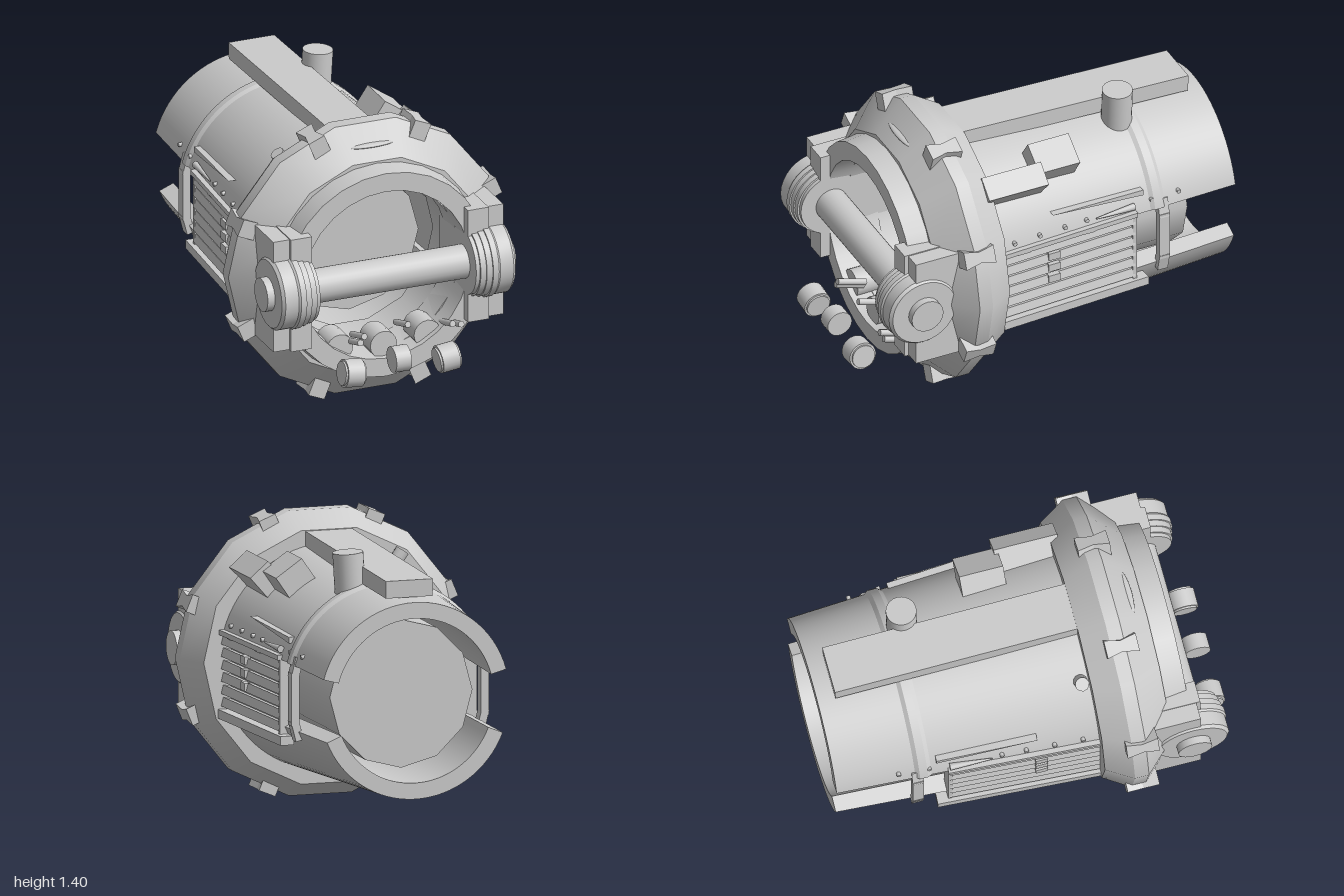
import * as THREE from 'three';
import { mergeGeometries, toCreasedNormals } from 'three/addons/utils/BufferGeometryUtils.js';

const CY = 0.71; // height of the main axis
const rad = THREE.MathUtils.degToRad;
const bodyR = (z) => 0.56 + (z - 0.3) * 0.058; // tapered body radius

export function createModel() {
  const root = new THREE.Group();
  root.name = 'machine';
  const metal = new THREE.MeshStandardMaterial({ color: 0xcccccc, side: THREE.DoubleSide });
  metal.name = 'plain grey metal';

  const add = (name, geo, x = 0, y = 0, z = 0, rx = 0, ry = 0, rz = 0) => {
    const m = new THREE.Mesh(geo, metal);
    m.name = name;
    m.position.set(x, y, z);
    m.rotation.set(rx, ry, rz);
    root.add(m);
    return m;
  };
  const box = (name, w, h, d, ...at) => add(name, new THREE.BoxGeometry(w, h, d), ...at);
  const rod = (name, r, len, axis, x, y, z, seg = 24, tilt = 0) => {
    const g = new THREE.CylinderGeometry(r, r, len, seg);
    if (axis === 'x') g.rotateZ(Math.PI / 2);
    if (axis === 'z') g.rotateX(Math.PI / 2);
    return add(name, g, x, y, z, 0, 0, tilt);
  };

  // Closed [radius, z] profile swept about the z axis with sharp bands; arcs get end caps.
  // Angles run from straight down towards +x.
  const sweep = (name, profile, seg, start = 90, length = 360) => {
    const pts = profile.map(([r, z]) => new THREE.Vector2(r, z));
    const parts = pts.map((p, i) =>
      new THREE.LatheGeometry([p, pts[(i + 1) % pts.length]], seg, rad(start), rad(length)));
    if (length < 360) {
      for (const a of [start, start + length]) {
        parts.push(new THREE.ShapeGeometry(new THREE.Shape(pts)).rotateY(rad(a) - Math.PI / 2));
      }
    }
    return add(name, mergeGeometries(parts).rotateX(Math.PI / 2), 0, CY, 0);
  };

  // Front collar and mouth ring
  sweep('collar', [[0.64, 0.3], [0.72, 0.43], [0.72, 0.5], [0.57, 0.65], [0.44, 0.65], [0.44, 0.3]], 14);
  sweep('mouthRing', [[0.55, 0.62], [0.535, 0.76], [0.44, 0.76], [0.43, 0.5]], 28);
  add('collarRidge', new THREE.SphereGeometry(1, 20, 8).scale(0.125, 0.012, 0.03), 0, 1.325, 0.575);

  // Notched lugs around the collar
  const lug = new THREE.Shape([[-0.045, -0.08], [0.045, -0.08], [0.028, 0], [0.045, 0.08], [-0.045, 0.08], [-0.028, 0]]
    .map(([x, y]) => new THREE.Vector2(x, y)));
  for (let i = 0; i < 8; i++) {
    const a = rad(22.5 + 45 * i);
    const g = new THREE.ExtrudeGeometry(lug, { depth: 0.1, bevelEnabled: false });
    g.rotateX(-Math.PI / 2); // depth becomes radial
    add('collarLug', g, 0.635 * Math.cos(a), CY + 0.635 * Math.sin(a), 0.48, 0, 0, a - Math.PI / 2);
  }

  // Tapered upper and lower shells, open at the sides
  const shell = [[bodyR(-1), -1], [bodyR(0.35), 0.35], [0.46, 0.35], [0.405, -1]];
  sweep('upperShell', shell, 32, 105.5, 149);
  sweep('lowerShell', shell, 32, -68, 136);
  const band = [[bodyR(-0.6), -0.61], [bodyR(-0.56) + 0.012, -0.59], [bodyR(-0.55) + 0.012, -0.55], [bodyR(-0.52), -0.53]];
  sweep('upperBand', band, 32, 105.5, 149);

  // Inner core
  rod('core', 0.365, 1.09, 'z', 0, CY, -0.245, 12);
  box('coreNotch', 0.03, 0.03, 0.04, 0, 1.06, 0.3);

  // Spine plate, vent stub, side boxes and knob on top
  box('spinePlate', 0.24, 0.085, 1.22, 0, 1.268, -0.305, -0.033);
  add('ventStub', new THREE.CylinderGeometry(0.075, 0.075, 0.2, 24), 0.17, 1.27, -0.505, 0, 0, -0.06);
  box('rearBox', 0.16, 0.13, 0.22, 0.33, 1.19, -0.07, 0, 0, -0.6);
  box('frontBox', 0.12, 0.14, 0.32, 0.405, 1.155, 0.18, 0, 0, -0.72);
  add('knob', new THREE.CylinderGeometry(0.035, 0.035, 0.1, 12), -0.335, 1.175, 0.26, 0, 0, 0.6);

  const wedge = new THREE.ExtrudeGeometry(new THREE.Shape([[0, 0], [-0.5, -0.02], [-0.5, -0.05]]
    .map(([x, y]) => new THREE.Vector2(x, y))), { depth: 0.05, bevelEnabled: false }).rotateY(-Math.PI / 2);

  for (const s of [-1, 1]) {
    // Louvred side panel following the taper
    const tilt = s * 0.058;
    box('louverBacking', 0.03, 0.4, 0.76, s * 0.465, 0.66, -0.07, 0, tilt, 0);
    for (let i = 0; i < 6; i++) {
      box('louverSlat', 0.05, 0.045, 0.75, s * 0.5, 0.51 + i * 0.061, -0.065, 0, tilt, s * 0.25);
    }
    box('louverEnd', 0.08, 0.37, 0.02, s * 0.465, 0.665, -0.44);
    box('lowerLedge', 0.07, 0.045, 0.85, s * 0.51, 0.457, -0.08, 0, tilt, 0);
    box('upperRail', 0.05, 0.025, 0.76, s * 0.515, 0.858, -0.07, 0, tilt, 0);
    for (const z of [0.18, -0.18]) box('railClip', 0.04, 0.025, 0.07, s * bodyR(z) * 0.96, 0.853, z);
    for (let i = 0; i < 3; i++) box('louverLatch', 0.03, 0.04, 0.06, s * 0.525, 0.64 + i * 0.065, 0.01);

    // Bent strap bridging the side opening
    box('strapMiddle', 0.04, 0.26, 0.055, s * 0.485, 0.68, -0.6);
    box('strapTop', 0.04, 0.1, 0.055, s * 0.475, 0.835, -0.6, 0, 0, s * 0.25);
    box('strapBottom', 0.04, 0.1, 0.055, s * 0.475, 0.525, -0.6, 0, 0, -s * 0.25);

    // Fins and rivets on the upper shell
    add('longFin', wedge, s * 0.48 + 0.025, 0.985, 0, 0, tilt, 0);
    const pin = new THREE.CylinderGeometry(0.004, 0.018, 0.21, 10).rotateX(Math.PI / 2);
    add('shortFin', pin, s * 0.502, 0.898, -0.335, 0, tilt, 0);
    for (const z of [0.22, 0.08, -0.06, -0.18, -0.54, -0.69]) {
      const r = bodyR(z), dy = 0.19;
      rod('rivet', 0.011, 0.03, 'x', s * Math.sqrt(r * r - dy * dy), CY + dy, z, 8);
    }
    rod('collarRivet', 0.012, 0.03, 'x', s * 0.58, 0.41, 0.37, 8);
    rod('collarRivet', 0.012, 0.03, 'x', s * 0.58, 1.0, 0.37, 8);

    // Arm, ridged hub and cap
    box('armInner', 0.11, 0.59, 0.36, s * 0.465, 0.705, 0.63);
    box('armOuter', 0.09, 0.58, 0.34, s * 0.56, 0.705, 0.62);
    const hub = [[0, 0.41], [0.165, 0.41], [0.165, 0.43], [0.175, 0.43], [0.175, 0.46], [0.182, 0.46],
      [0.182, 0.49], [0.19, 0.49], [0.19, 0.52], [0.183, 0.53], [0.183, 0.6], [0.17, 0.615], [0, 0.615]]
      .map(([r, y]) => new THREE.Vector2(r, y));
    const hubGeo = toCreasedNormals(new THREE.LatheGeometry(hub, 32), 0.5);
    add('hub', hubGeo, 0, CY, 0.75, 0, 0, -s * Math.PI / 2);
    rod('hubCap', 0.085, 0.05, 'x', s * 0.628, CY, 0.75, 20);
  }
  rod('crossBar', 0.085, 0.84, 'x', 0, CY, 0.75);

  // Front rollers with their sockets in the lower mouth
  rod('middleRoller', 0.065, 0.08, 'x', 0, 0.335, 0.925);
  rod('middleSocket', 0.07, 0.14, 'z', 0, 0.33, 0.66, 16);
  for (const s of [-1, 1]) {
    rod('sideRoller', 0.07, 0.09, 'x', s * 0.25, 0.3, 0.925, 24, s * 0.12);
    rod('sideRollerRim', 0.06, 0.11, 'x', s * 0.25, 0.3, 0.925, 24, s * 0.12);
    rod('sideSocket', 0.07, 0.14, 'z', s * 0.23, 0.35, 0.66, 16);
  }

  // Small levers in the lower mouth
  for (const [x, y] of [[-0.17, 0.41], [-0.15, 0.44], [0.08, 0.465], [0.315, 0.43], [0.36, 0.42]]) {
    const g = new THREE.CylinderGeometry(0.016, 0.016, 0.16, 10).rotateX(Math.PI / 2);
    add('lever', g, x, y - 0.02, 0.77, -0.3);
  }
  return root;
}
